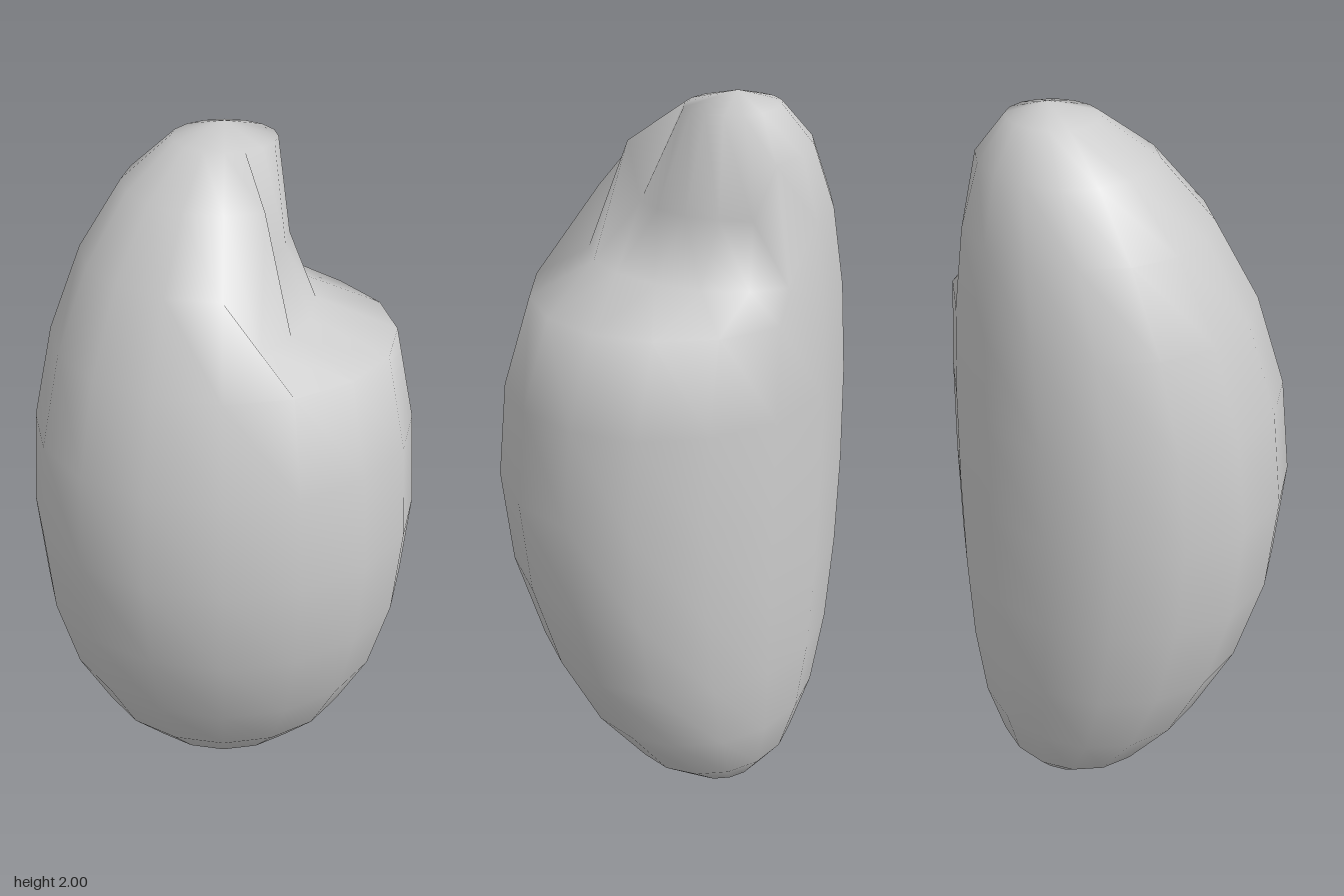
import * as THREE from 'three';
import { mergeVertices } from 'three/addons/utils/BufferGeometryUtils.js';

// Smooth pebble: a unit sphere stretched to size, leaning back toward both ends,
// with a notch pressed into the upper left.
function pebbleGeometry() {
  const sphere = new THREE.SphereGeometry(1, 16, 12);
  sphere.deleteAttribute('uv');
  sphere.deleteAttribute('normal');
  const geometry = mergeVertices(sphere, 1e-4);
  const p = geometry.attributes.position;
  for (let i = 0; i < p.count; i++) {
    let x = p.getX(i), y = p.getY(i);
    const z = p.getZ(i) * 0.445 - 0.18 * y * y;
    // notch
    if (x > 0.25 && y > 0.6 && y < 0.95) {
      x *= 0.645;
      y -= 0.14;
    }
    p.setXYZ(i, x * 0.515, y + 1, z);
  }
  geometry.computeVertexNormals();
  return geometry;
}

export function createModel() {
  const group = new THREE.Group();
  group.name = 'pebble';
  const stone = new THREE.MeshStandardMaterial({ color: 0xcccccc });
  stone.name = 'stone grey';
  const body = new THREE.Mesh(pebbleGeometry(), stone);
  body.name = 'notchedBody';
  group.add(body);
  return group;
}
